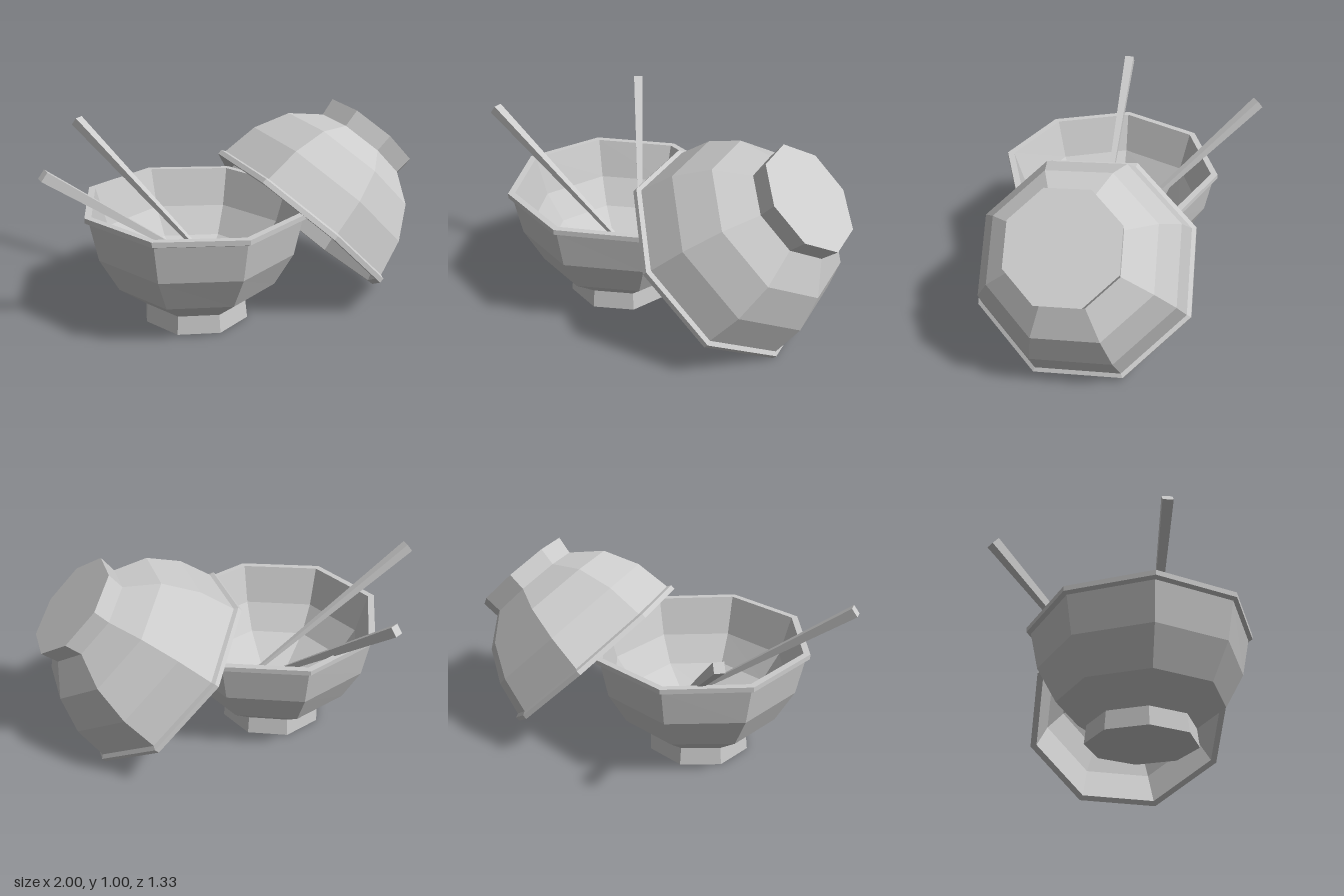
import * as THREE from 'three';

const mat = new THREE.MeshStandardMaterial({ color: 0xcccccc, flatShading: true });

// Closed bowl section: foot, outer wall, lip, then back down the inside
const profile = [
  [0, 0], [0.277, 0], [0.266, 0.095], [0.415, 0.21], [0.51, 0.385], [0.548, 0.575],
  [0.57, 0.585], [0.57, 0.61], [0.535, 0.61], [0.475, 0.41], [0.38, 0.27], [0.2, 0.16], [0, 0.15],
].map(([r, y]) => new THREE.Vector2(r, y));

// Eight-sided bowl; leanX and leanZ slope the rim slightly while the foot stays flat
function makeBowl(name, spin, leanX = 0, leanZ = 0) {
  const geo = new THREE.LatheGeometry(profile, 8);
  geo.rotateY(spin);
  const p = geo.attributes.position;
  for (let i = 0; i < p.count; i++) {
    const lean = (p.getX(i) * leanX + p.getZ(i) * leanZ) * p.getY(i) / 0.6;
    p.setY(i, p.getY(i) + lean);
  }
  geo.computeVertexNormals();
  const bowl = new THREE.Mesh(geo, mat);
  bowl.name = name;
  return bowl;
}

// Square tapered stick from its thin tip to its thick end
function makeStick(name, tip, end) {
  const a = new THREE.Vector3(...tip), b = new THREE.Vector3(...end);
  const geo = new THREE.CylinderGeometry(0.035, 0.01, a.distanceTo(b), 4);
  geo.rotateY(Math.PI / 4);
  const stick = new THREE.Mesh(geo, mat);
  stick.name = name;
  // Keep one pair of sides vertical
  const up = b.clone().sub(a).normalize();
  const side = new THREE.Vector3(-up.z, 0, up.x).normalize();
  const face = new THREE.Vector3().crossVectors(side, up);
  stick.quaternion.setFromRotationMatrix(new THREE.Matrix4().makeBasis(side, up, face));
  stick.position.copy(a).add(b).multiplyScalar(0.5);
  return stick;
}

export function createModel() {
  const group = new THREE.Group();
  group.name = 'bowlsAndChopsticks';

  // Upright bowl
  const upright = makeBowl('uprightBowl', 0.015, -0.022, 0.014);
  upright.position.set(-0.225, 0, 0.09);

  // Overturned bowl leaning on the first
  const leaning = makeBowl('leaningBowl', Math.PI / 8 - 0.065);
  leaning.rotation.z = Math.PI * 0.75;
  leaning.position.set(0.815, 0.81, 0.085);

  // Chopsticks resting in the upright bowl
  const sticks = [
    makeStick('sideChopstick', [-0.075, 0.18, 0.125], [-0.983, 0.877, 0.133]),
    makeStick('backChopstick', [-0.08, 0.17, 0.12], [-0.572, 0.872, -0.645]),
  ];

  group.add(upright, leaning, ...sticks);
  return group;
}
